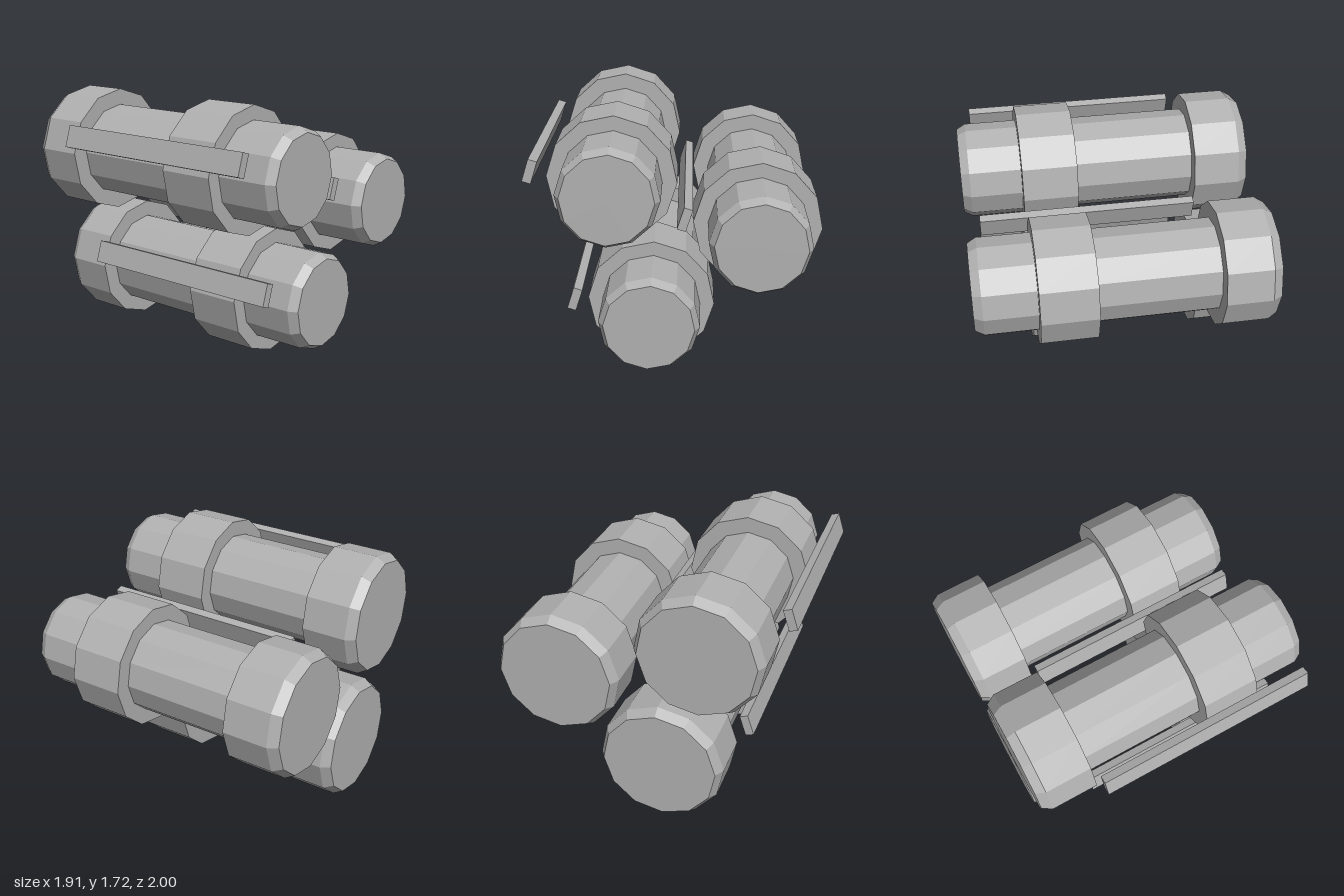
import * as THREE from 'three';

const SIDES = 12;
const TWIST = THREE.MathUtils.degToRad(-3.2);

// Radius and z along one stepped cylinder, from back to front
const PROFILE = [
  [0, -1], [0.388, -1], [0.427, -0.935],  // rear collar with bevel
  [0.427, -0.62], [0.317, -0.62],         // waist
  [0.317, 0.205], [0.427, 0.205],         // middle collar
  [0.427, 0.585], [0.33, 0.585],          // nose
  [0.33, 0.94], [0.296, 1], [0, 1],       // bevelled front end
];

// Cylinder centres: x, y
const CENTRES = [
  ['upper', -0.428, 1.29],
  ['side', 0.53, 0.978],
  ['lower', -0.179, 0.427],
];

export function createModel() {
  const model = new THREE.Group();
  model.name = 'cylinderCluster';

  const metal = new THREE.MeshStandardMaterial({ color: 0xb0b0b0 });
  metal.name = 'grey metal';
  metal.flatShading = true;

  // Stepped cylinder lying along z
  const points = PROFILE.map(([r, z]) => new THREE.Vector2(r, z));
  const bodyGeometry = new THREE.LatheGeometry(points, SIDES, TWIST).rotateX(Math.PI / 2);

  // Flat bar beside each cylinder, standing off radially
  const barGeometry = new THREE.BoxGeometry(0.058, 0.15, 1.49);

  for (const [name, x, y] of CENTRES) {
    const unit = new THREE.Group();
    unit.name = `${name}Unit`;
    unit.position.set(x, y, 0);

    const body = new THREE.Mesh(bodyGeometry, metal);
    body.name = `${name}Cylinder`;

    const bar = new THREE.Mesh(barGeometry, metal);
    bar.name = `${name}Bar`;
    bar.position.set(-0.479, 0.155, 0.155);
    bar.rotation.z = THREE.MathUtils.degToRad(-18);

    unit.add(body, bar);
    model.add(unit);
  }
  return model;
}
